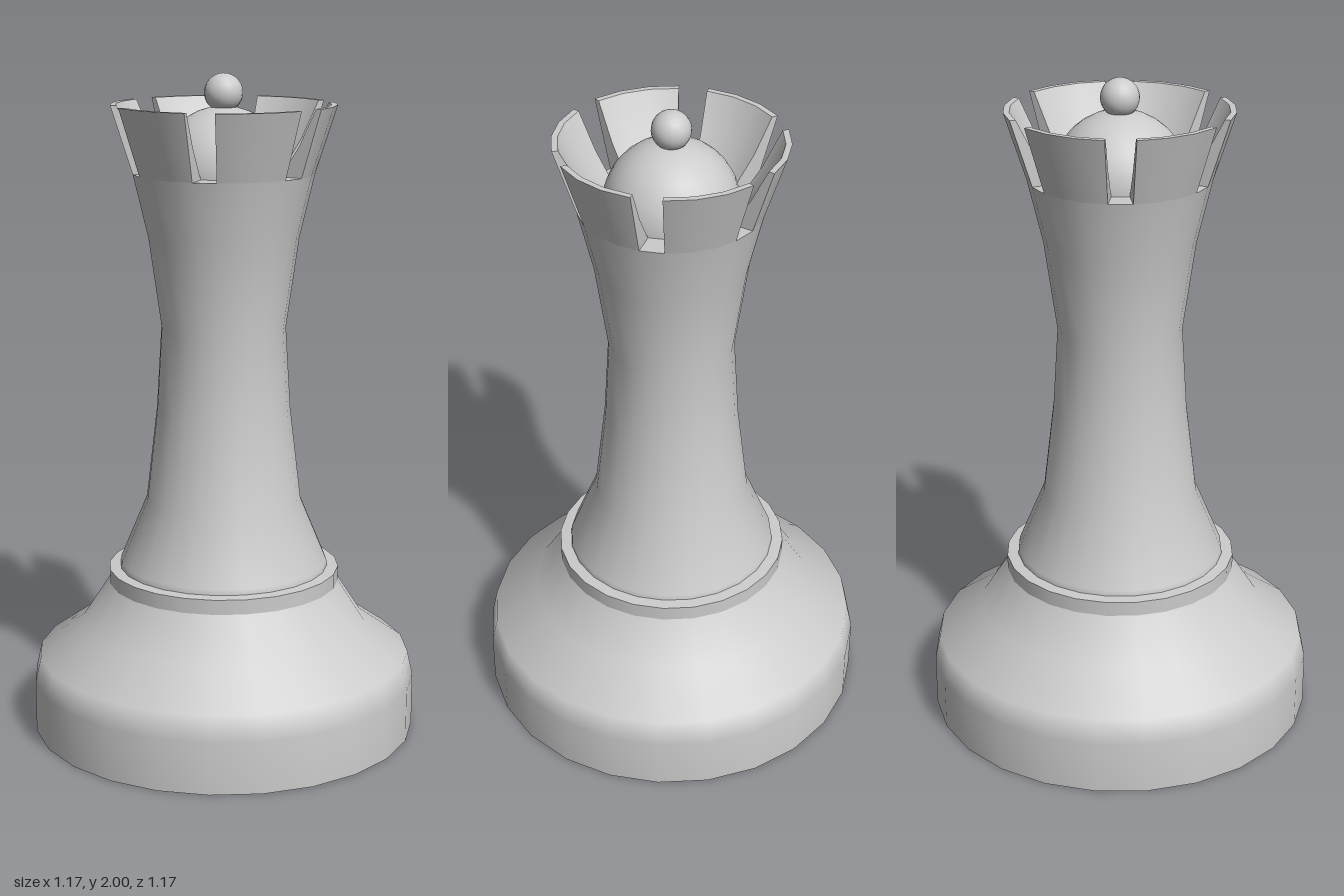
import * as THREE from 'three';

const SIDES = 24;
const STEP = (Math.PI * 2) / SIDES;
const material = new THREE.MeshStandardMaterial({ color: 0xcccccc });
const thin = new THREE.MeshStandardMaterial({ color: 0xcccccc, side: THREE.DoubleSide });

const toPoints = (list) => list.map(([r, y]) => new THREE.Vector2(r, y));

function addMesh(parent, name, geometry, mat = material) {
  const mesh = new THREE.Mesh(geometry, mat);
  mesh.name = name;
  parent.add(mesh);
  return mesh;
}

// Turned surface; each section is smooth in itself, with a sharp edge to the next
function addTurned(parent, name, sections, segments = SIDES, start = 0, length = Math.PI * 2) {
  const group = new THREE.Group();
  group.name = name;
  for (const section of sections) {
    addMesh(group, name + 'Surface', new THREE.LatheGeometry(toPoints(section), segments, start, length));
  }
  parent.add(group);
  return group;
}

export function createModel() {
  const model = new THREE.Group();
  model.name = 'chessPiece';

  // Wide foot with a flat underside
  addTurned(model, 'base', [
    [[0, 0], [0.587, 0]],
    [[0.587, 0], [0.587, 0.16], [0.57, 0.235], [0.435, 0.33], [0.352, 0.46]],
  ]);

  // Small ring between foot and stem
  addTurned(model, 'collar', [
    [[0.352, 0.46], [0.352, 0.505]],
    [[0.352, 0.505], [0.318, 0.508]],
  ]);

  // Waisted stem, ending in the floor of the crown
  addTurned(model, 'stem', [
    [[0.318, 0.508], [0.316, 0.525], [0.235, 0.72], [0.202, 1.0], [0.187, 1.25], [0.225, 1.52], [0.27, 1.71]],
    [[0.27, 1.71], [0.18, 1.71]],
  ]);

  // Six crown teeth, each three sides wide, with one-side gaps
  const outer = [[0.27, 1.71], [0.334, 1.91]];
  const rim = [[0.334, 1.91], [0.316, 1.91]];
  const inner = [[0.316, 1.91], [0.26, 1.8], [0.198, 1.71]];
  const cap = new THREE.ShapeGeometry(new THREE.Shape(toPoints([...outer, ...inner])));
  for (let i = 0; i < 6; i++) {
    const start = STEP * (1 + 4 * i);
    const tooth = addTurned(model, 'crownTooth', [outer, rim, inner], 3, start, 3 * STEP);
    for (const angle of [start, start + 3 * STEP]) {
      addMesh(tooth, 'toothSide', cap, thin).rotation.y = angle - Math.PI / 2;
    }
  }

  // Dome inside the crown
  const dome = addMesh(model, 'dome',
    new THREE.SphereGeometry(0.197, SIDES, 8, 0, Math.PI * 2, 0, Math.PI / 2));
  dome.position.y = 1.708;

  // Finial ball
  addMesh(model, 'finial', new THREE.SphereGeometry(0.057, 20, 14)).position.y = 1.943;

  return model;
}
